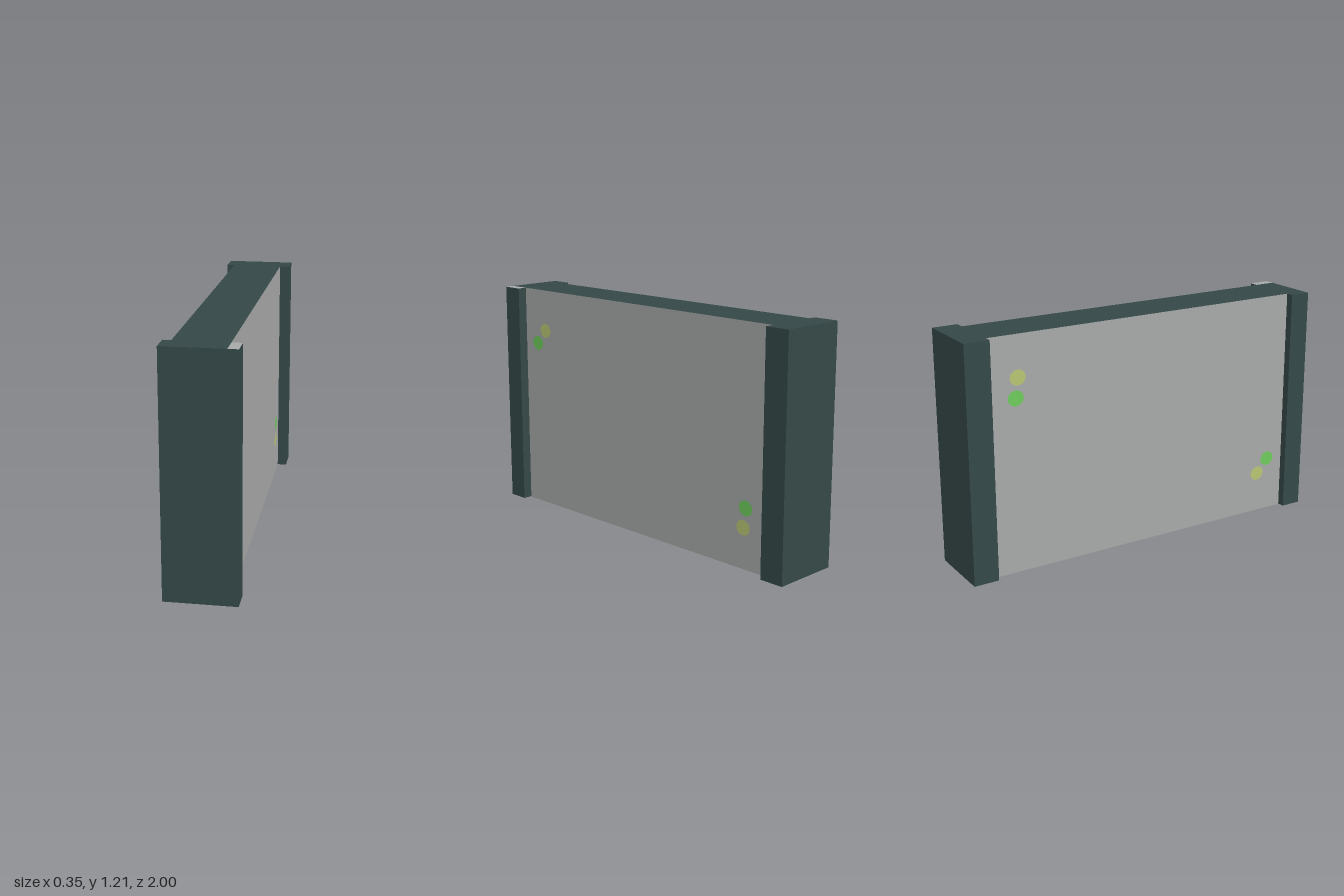
import * as THREE from 'three';

export function createModel() {
  const model = new THREE.Group();
  model.name = 'slabPanel';
  const mat = (name, color) => {
    const m = new THREE.MeshStandardMaterial({ color });
    m.name = name;
    return m;
  };
  const dark = mat('darkSlate', 0x344847);
  const grey = mat('panelGrey', 0xa7a9a8);
  const green = mat('green', 0x6ecb5c);
  const yellow = mat('yellow', 0xb8c674);
  const H = 1.205;

  // Box given by its limits on each axis
  const block = (name, [x0, x1], [y0, y1], [z0, z1], material) => {
    const mesh = new THREE.Mesh(new THREE.BoxGeometry(x1 - x0, y1 - y0, z1 - z0), material);
    mesh.position.set((x0 + x1) / 2, (y0 + y1) / 2, (z0 + z1) / 2);
    mesh.name = name;
    model.add(mesh);
  };

  // Material order of box faces: +x, -x, +y, -y, +z, -z
  const greySides = [grey, grey, dark, dark, grey, grey];
  const greyEnds = [dark, dark, grey, grey, dark, dark];

  // Slab with pale faces and dark edges
  block('panel', [-0.137, 0.127], [0, H], [-0.87, 0.89], greySides);

  // End posts; the front one has a separate strip with pale ends
  block('backPost', [-0.177, 0.177], [0.003, H], [-1, -0.87], dark);
  block('frontPost', [-0.177, 0.127], [0.003, H], [0.89, 1], dark);
  block('frontPostStrip', [0.127, 0.177], [0.003, H], [0.89, 1], greyEnds);

  // Thin feet under the posts
  block('frontFoot', [-0.144, 0.127], [0, 0.003], [0.89, 1], greySides);
  block('backFoot', [-0.144, 0.14], [0, 0.003], [-1, -0.87], greySides);

  // Coloured dots, flipped top to bottom on the opposite face
  const dots = [
    ['yellowDot', yellow, 0.985, 0.725],
    ['greenDot', green, 0.91, 0.79],
    ['greenDot', green, 0.31, -0.73],
    ['yellowDot', yellow, 0.21, -0.717],
  ];
  const dotGeometry = new THREE.CircleGeometry(1, 16);
  for (const side of [1, -1]) {
    for (const [name, material, y, z] of dots) {
      const dot = new THREE.Mesh(dotGeometry, material);
      dot.name = name;
      dot.scale.set(0.042, 0.039, 1);
      dot.rotation.y = side * Math.PI / 2;
      dot.position.set(side > 0 ? 0.13 : -0.14, side > 0 ? y : H - y, z);
      model.add(dot);
    }
  }
  return model;
}
